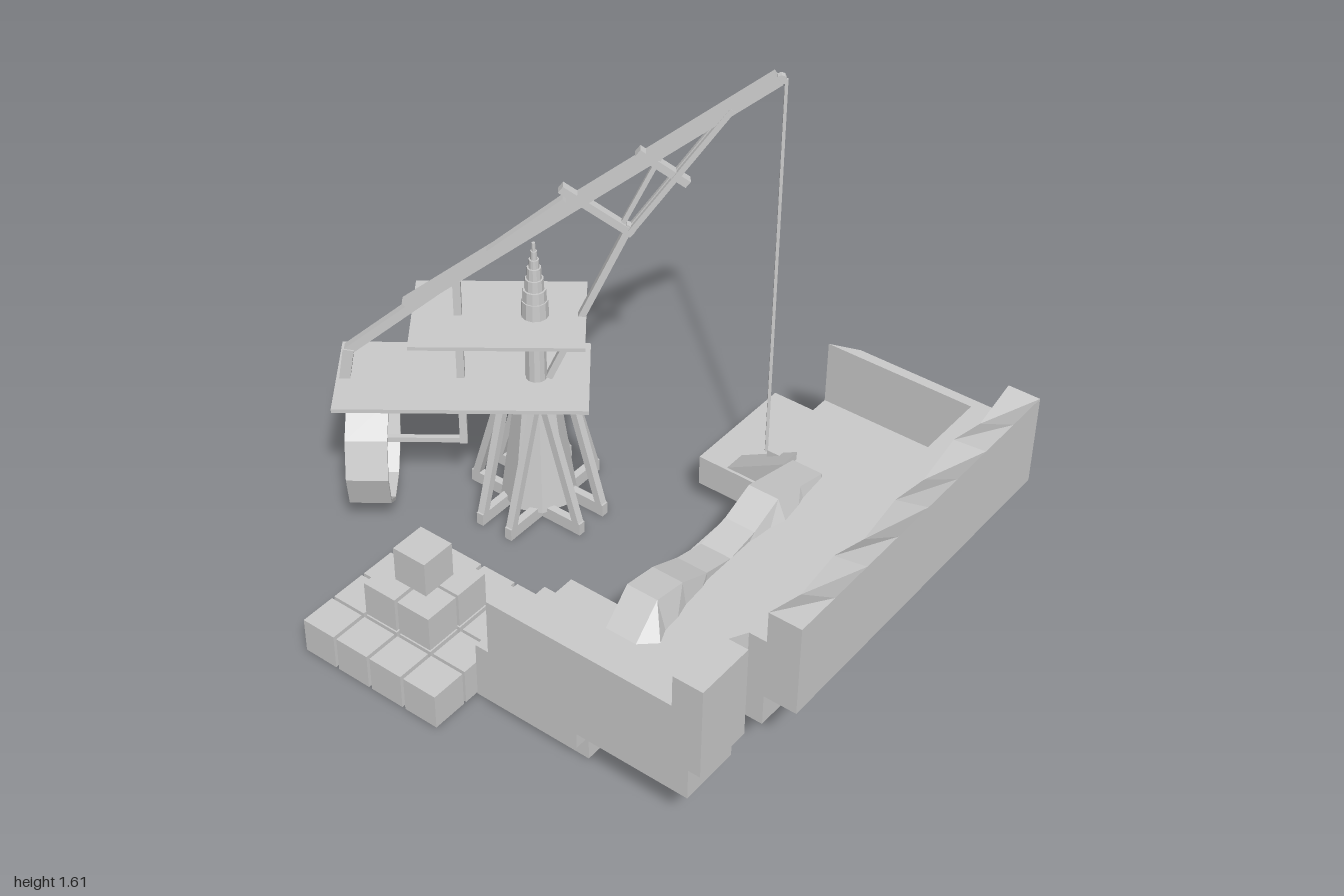
import * as THREE from 'three';

const mat = new THREE.MeshStandardMaterial({ color: 0xcccccc, flatShading: true, side: THREE.DoubleSide });

function add(parent, name, geo, x = 0, y = 0, z = 0) {
  const m = new THREE.Mesh(geo, mat);
  m.name = name;
  m.position.set(x, y, z);
  parent.add(m);
  return m;
}
// box given by its min and max on each axis
function span(parent, name, x0, x1, y0, y1, z0, z1) {
  return add(parent, name, new THREE.BoxGeometry(x1 - x0, y1 - y0, z1 - z0),
    (x0 + x1) / 2, (y0 + y1) / 2, (z0 + z1) / 2);
}
// square timber between two points, kept upright
function beam(parent, name, a, b, depth, width) {
  const p = new THREE.Vector3(...a), q = new THREE.Vector3(...b);
  const m = add(parent, name, new THREE.BoxGeometry(width, depth, p.distanceTo(q)));
  m.position.copy(p).add(q).multiplyScalar(0.5);
  m.quaternion.setFromRotationMatrix(new THREE.Matrix4().lookAt(q, p, new THREE.Vector3(0, 1, 0)));
  return m;
}
// plan outline of [x, z] points raised from y0 to y1
function slab(parent, name, pts, y0, y1) {
  const shape = new THREE.Shape(pts.map(([x, z]) => new THREE.Vector2(x, -z)));
  const geo = new THREE.ExtrudeGeometry(shape, { depth: y1 - y0, bevelEnabled: false });
  return add(parent, name, geo.rotateX(-Math.PI / 2), 0, y0, 0);
}
// long block along z: the top on one side (0 = both) drops by a list of steps,
// and the foot of the +x side spreads by a second list
function ragged(parent, name, [x0, x1, y0, y1, z0, z1], side, drops, spread) {
  const geo = new THREE.BoxGeometry(x1 - x0, y1 - y0, z1 - z0, 1, 1, drops.length - 1);
  const p = geo.attributes.position;
  for (let i = 0; i < p.count; i++) {
    const k = Math.round((p.getZ(i) / (z1 - z0) + 0.5) * (drops.length - 1));
    if (p.getY(i) < 0) {
      if (p.getX(i) > 0) p.setX(i, p.getX(i) + spread[k]);
    } else if (p.getX(i) * side >= 0) p.setY(i, p.getY(i) - drops[k]);
  }
  return add(parent, name, geo, (x0 + x1) / 2, (y0 + y1) / 2, (z0 + z1) / 2);
}

function buildBase() {
  const g = new THREE.Group();
  g.name = 'craneBase';
  // crossing sleepers, with a raking leg on each end
  for (let k = 0; k < 4; k++) {
    const arm = new THREE.Group();
    arm.name = 'trestleSide';
    arm.rotation.y = k * Math.PI / 2;
    for (const s of [-1, 1]) {
      span(arm, 'sleeper', 0, 0.23, 0, 0.045, s * 0.06 - 0.013, s * 0.06 + 0.013);
      beam(arm, 'leg', [0.215, 0.03, s * 0.06], [0.085, 0.45, s * 0.06], 0.026, 0.026);
    }
    g.add(arm);
  }
  add(g, 'taperedCore', new THREE.CylinderGeometry(0.07, 0.125, 0.42, 8), 0, 0.24, 0);
  add(g, 'turntable', new THREE.CylinderGeometry(0.117, 0.117, 0.045, 8), 0, 0.467, 0);
  // stepped mast with a pointed top
  const steps = [[0.035, 0.48], [0.037, 0.63], [0.045, 0.67], [0.045, 0.74], [0.039, 0.8], [0.031, 0.84],
    [0.024, 0.88], [0.017, 0.92], [0.011, 0.95], [0.006, 0.98]];
  steps.forEach(([r, y], i) => {
    const top = i + 1 < steps.length ? steps[i + 1][1] : 1.01;
    add(g, 'mastStep', new THREE.CylinderGeometry(r * 0.95, r, top - y, 12), 0, (y + top) / 2, 0);
  });
  return g;
}

function buildJib() {
  const g = new THREE.Group();
  g.name = 'craneJib';
  span(g, 'lowerPlatform', -0.636, 0.17, 0.484, 0.498, -0.178, 0.178);
  span(g, 'upperPlatform', -0.385, 0.16, 0.729, 0.742, -0.178, 0.178);
  // boom
  beam(g, 'boomFoot', [-0.61, 0.49, 0], [-0.59, 0.61, 0], 0.035, 0.04);
  beam(g, 'boomLower', [-0.595, 0.6, 0], [0.1, 1.165, 0], 0.03, 0.03);
  beam(g, 'boomUpper', [-0.4, 0.775, 0], [0.72, 1.59, 0], 0.04, 0.035);
  add(g, 'pulley', new THREE.CylinderGeometry(0.016, 0.016, 0.02, 8).rotateX(Math.PI / 2), 0.728, 1.587, 0);
  // braces under the boom
  beam(g, 'strut', [0.04, 0.5, 0], [0.295, 1.08, 0], 0.022, 0.026);
  for (const s of [-1, 1]) {
    beam(g, 'upperStrut', [0.295, 1.06, s * 0.012], [0.59, 1.49, s * 0.012], 0.018, 0.014);
  }
  beam(g, 'innerStrut', [0.27, 1.08, 0], [0.39, 1.34, 0], 0.015, 0.015);
  beam(g, 'crossPiece', [0.085, 1.21, 0], [0.302, 1.05, 0], 0.026, 0.03);
  beam(g, 'crossPiece', [0.315, 1.34, 0], [0.466, 1.23, 0], 0.026, 0.03);
  span(g, 'rope', 0.738, 0.748, 0.2, 1.585, -0.005, 0.005);
  // drive post and axle
  span(g, 'post', -0.253, -0.228, 0.23, 0.87, -0.012, 0.012);
  span(g, 'axle', -0.605, -0.23, 0.232, 0.25, -0.009, 0.009);
  // treadwheel
  const wheel = new THREE.Group();
  wheel.name = 'treadwheel';
  wheel.position.set(-0.535, 0.24, 0);
  const shape = new THREE.Shape(), hole = new THREE.Path();
  for (let i = 0; i < 10; i++) {
    const a = i * Math.PI / 5, c = Math.cos(a), s = Math.sin(a);
    shape[i ? 'lineTo' : 'moveTo'](0.216 * c, 0.216 * s);
    hole[i ? 'lineTo' : 'moveTo'](0.205 * c, 0.205 * s);
  }
  shape.holes.push(hole);
  const rim = new THREE.ExtrudeGeometry(shape, { depth: 0.135, bevelEnabled: false });
  add(wheel, 'wheelRim', rim.translate(0, 0, -0.0675).rotateY(Math.PI / 2));
  for (let i = 0; i < 4; i++) {
    const spoke = add(wheel, 'spoke', new THREE.BoxGeometry(0.01, 0.41, 0.01), -0.06);
    spoke.rotation.x = i * Math.PI / 4;
  }
  g.add(wheel);
  return g;
}

function buildCrates() {
  const g = new THREE.Group();
  g.name = 'crates';
  [4, 2, 1].forEach((n, layer) => {
    for (let i = 0; i < n; i++) for (let j = 0; j < n; j++) {
      add(g, 'crate', new THREE.BoxGeometry(0.123, 0.124, 0.123),
        -0.223 + (i - (n - 1) / 2) * 0.135, 0.062 + layer * 0.131, 0.6 + (j - (n - 1) / 2) * 0.133);
    }
  });
  return g;
}

function buildQuay() {
  const g = new THREE.Group();
  g.name = 'quay';
  const outer = [[0.26, -0.83], [0.36, -0.865], [0.89, -0.865], [0.89, 0.42], [0.83, 0.42], [0.8, 0.475],
    [0.83, 0.57], [0.89, 0.57], [0.89, 0.775], [0.18, 0.775], [0.15, 0.68]];
  // floor and outer wall share one outline
  slab(g, 'floor', [...outer, [0.15, 0.36], [0.47, 0.36], [0.47, -0.5], [0.26, -0.5]], 0.2, 0.29);
  slab(g, 'outerWall', [...outer, [0.79, 0.675], [0.79, -0.83]], 0.2, 0.52);
  // parapet with a worn inner edge
  ragged(g, 'parapet', [0.89, 1.0, 0.31, 0.63, -0.865, 0.42], -1,
    [0, 0.05, 0.01, 0.06, 0.03, 0.07, 0.02, 0.05, 0], Array(9).fill(0));
  span(g, 'parapetBlock', 0.83, 0.93, 0.31, 0.63, 0.57, 0.775);
  // front landing
  span(g, 'frontLanding', 0.045, 0.47, 0.09, 0.2, 0.36, 0.68);
  span(g, 'frontLandingFoot', 0.045, 0.36, 0, 0.09, 0.25, 0.68);
  span(g, 'frontLandingFoot', 0.36, 0.47, 0, 0.09, 0.25, 0.68);
  span(g, 'frontLandingEdge', 0.15, 0.47, 0.09, 0.2, 0.6, 0.735);
  // stepped inner side
  span(g, 'innerStep', 0.26, 0.47, 0.09, 0.15, -0.53, 0.36);
  span(g, 'innerTread', 0.36, 0.47, 0.15, 0.2, -0.53, 0.36);
  span(g, 'stepFoot', 0.26, 0.47, 0, 0.09, 0.03, 0.36);
  span(g, 'stepFoot', 0.26, 0.36, 0, 0.09, -0.21, 0.03);
  span(g, 'stepFoot', 0.26, 0.47, 0, 0.09, -0.53, -0.21);
  // rear landing
  span(g, 'rearLanding', 0.047, 0.36, 0.09, 0.2, -0.86, -0.43);
  span(g, 'rearLandingFoot', 0.047, 0.26, 0, 0.15, -0.655, -0.53);
  // broken masonry along the inner edge
  ragged(g, 'brokenEdge', [0.36, 0.47, 0.2, 0.4, -0.5, 0.36], 0,
    [0.1, 0.07, 0.04, 0.09, 0.11, 0.08, 0.03, 0.01], [0, 0.04, 0.07, 0.03, 0, 0, 0.03, 0.06]);
  ragged(g, 'brokenCorner', [0.36, 0.47, 0.2, 0.4, 0.36, 0.46], 0, [0.01, 0.11], [0.06, 0.1]);
  // rubble sloping down to the rear landing
  const rubble = new THREE.Shape([[0.15, 0.2], [0.36, 0.2], [0.36, 0.32]].map((p) => new THREE.Vector2(...p)));
  add(g, 'rearRubble', new THREE.ExtrudeGeometry(rubble, { depth: 0.08, bevelEnabled: false }), 0, 0, -0.52);
  return g;
}

export function createModel() {
  const model = new THREE.Group();
  model.name = 'harbourCrane';
  const base = buildBase(), jib = buildJib();
  base.position.set(-0.39, 0, -0.137);
  jib.position.copy(base.position);
  jib.rotation.y = 0.654;
  model.add(base, jib, buildCrates(), buildQuay());
  return model;
}
